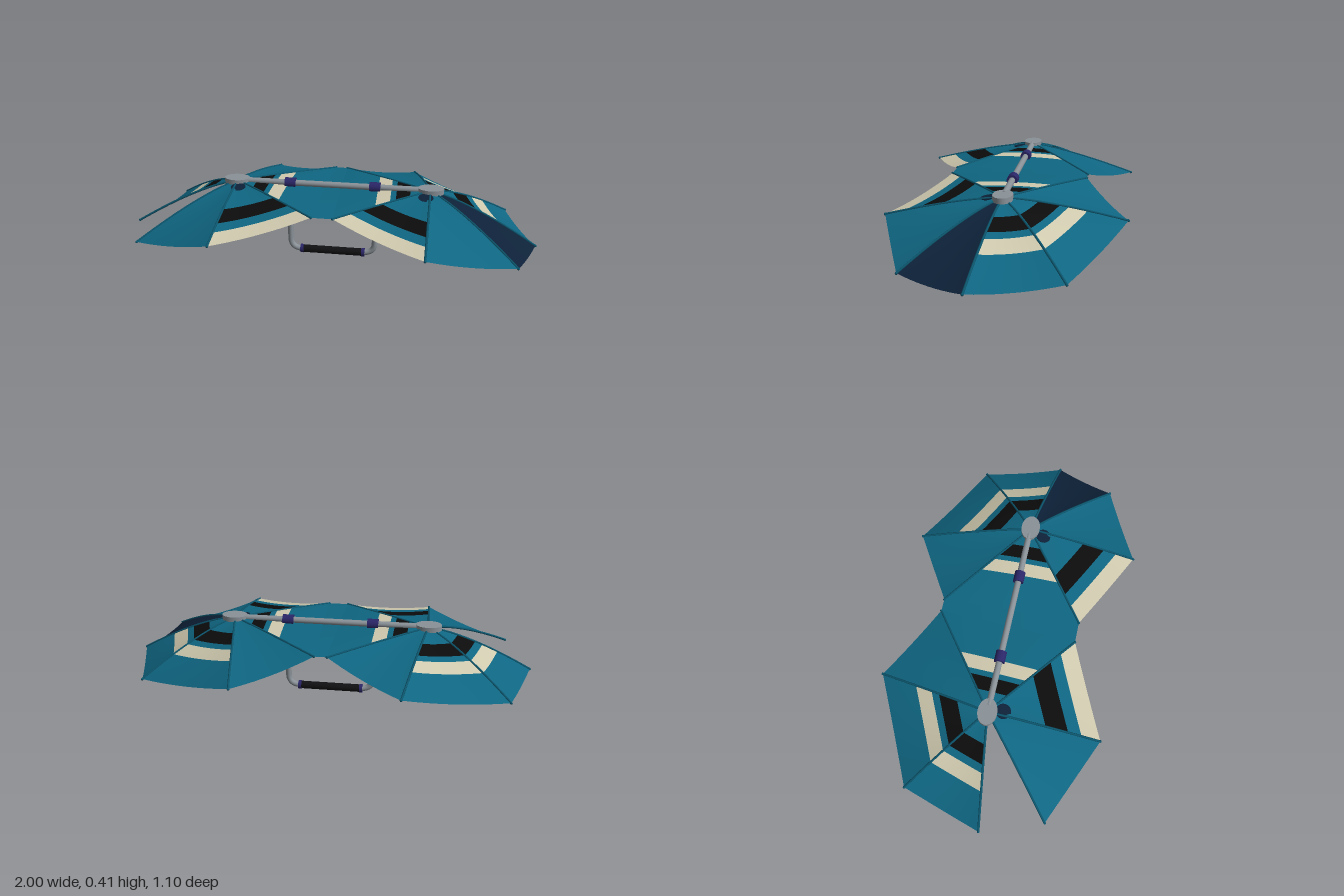
import * as THREE from 'three';

const mat = (name, color, side = THREE.FrontSide) => {
  const m = new THREE.MeshStandardMaterial({ color, side });
  m.name = name;
  return m;
};

const HUB_X = 0.48, TOP_Y = 0.38;

// Rib tips of one canopy, running round the hub [x, y, z]
const TIPS = [
  [0.03, 0.35, -0.335], [0.38, 0.268, -0.545], [0.87, 0.168, -0.32], [0.992, 0.157, 0.068],
  [0.89, 0.18, 0.36], [0.48, 0.275, 0.538], [0.05, 0.35, 0.33],
];

// Point on the canopy: s runs between two ribs, t from hub to rim
function canopyPoint(mirror, a, b, sag, s, t) {
  const along = (k) => a[k] + (b[k] - a[k]) * s;
  const y = TOP_Y - (TOP_Y - along(1)) * Math.pow(t, 1.4) - sag * 4 * s * (1 - s) * t;
  return new THREE.Vector3(mirror * (HUB_X + (along(0) - HUB_X) * t), y, along(2) * t);
}

// Grid surface from a point rule, wound so that normals face up
function surface(point, cols, rows, flip) {
  const pos = [], idx = [];
  for (let j = 0; j <= rows; j++)
    for (let i = 0; i <= cols; i++) pos.push(...point(i / cols, j / rows).toArray());
  for (let j = 0; j < rows; j++)
    for (let i = 0; i < cols; i++) {
      const p = j * (cols + 1) + i, q = p + cols + 1;
      if (flip) idx.push(p, q, p + 1, p + 1, q, q + 1);
      else idx.push(p, p + 1, q, p + 1, q + 1, q);
    }
  const g = new THREE.BufferGeometry();
  g.setAttribute('position', new THREE.Float32BufferAttribute(pos, 3));
  g.setIndex(idx);
  g.computeVertexNormals();
  return g;
}

export function createModel() {
  const model = new THREE.Group();
  model.name = 'twinCanopyUmbrella';

  const teal = mat('tealFabric', 0x0f6682, THREE.DoubleSide);
  const cream = mat('creamFabric', 0xcfc9ae, THREE.DoubleSide);
  const black = mat('blackFabric', 0x0c0c0c, THREE.DoubleSide);
  const navy = mat('navyFabric', 0x0d2138, THREE.DoubleSide);
  const rib = mat('ribTeal', 0x0b566e);
  const metal = mat('greyMetal', 0x8a9298);
  const violet = mat('violetPlastic', 0x2b2668);
  const grip = mat('blackGrip', 0x111113);

  const add = (parent, name, geo, material) => {
    const m = new THREE.Mesh(geo, material);
    m.name = name;
    parent.add(m);
    return m;
  };

  // Colour bands from hub to rim: [end of band, material]
  const plain = [[1, teal]];
  const dark = [[1, navy]];
  const outer = [[0.28, teal], [0.45, black], [0.52, teal], [0.67, cream], [1, teal]];
  const front = [[0.51, teal], [0.71, black], [0.83, teal], [1, cream]];
  const inner = [[0.22, teal], [0.37, black], [0.43, teal], [0.58, cream], [1, teal]];
  const panels = [plain, outer, outer, dark, plain, front, inner];

  for (const mirror of [1, -1]) {
    const canopy = new THREE.Group();
    canopy.name = mirror > 0 ? 'leftCanopy' : 'rightCanopy';
    model.add(canopy);

    panels.forEach((bands, n) => {
      if (mirror < 0 && bands === dark) return; // open gap on the right canopy
      const a = TIPS[n], b = TIPS[(n + 1) % TIPS.length];
      const sag = bands === inner ? -0.012 : 0.013;
      let from = 0.02;
      for (const [to, material] of bands) {
        const t0 = from;
        const rows = Math.max(2, Math.ceil((to - t0) * 12));
        add(canopy, 'fabricPanel', surface((u, v) => canopyPoint(
          mirror, a, b, sag, 0.008 + 0.984 * u, t0 + (to - t0) * v), 10, rows, mirror > 0), material);
        from = to;
      }
    });

    // Ribs from the hub to each tip
    for (const tip of TIPS) {
      const pts = [];
      for (let i = 0; i <= 8; i++) pts.push(canopyPoint(mirror, tip, tip, 0, 0, 0.05 + 0.95 * i / 8));
      add(canopy, 'rib', new THREE.TubeGeometry(new THREE.CatmullRomCurve3(pts), 12, 0.0055, 6), rib);
      const cap = add(canopy, 'ribTip', new THREE.SphereGeometry(0.0065, 8, 6), rib);
      cap.position.copy(pts[8]);
    }

    // Oval hub and the dark patch in front of it
    const hub = add(canopy, 'hub', new THREE.CylinderGeometry(0.063, 0.063, 0.026, 32), metal);
    hub.scale.z = 0.72;
    hub.position.set(mirror * 0.482, 0.384, 0);
    const patch = add(canopy, 'hubPatch', new THREE.CylinderGeometry(0.036, 0.036, 0.006, 20), navy);
    patch.position.set(mirror * 0.46, 0.371, 0.07);
    patch.rotation.x = 0.17;

    // Clamp joining crossbar and handle, and collar at the grip end
    const clamp = add(model, 'clamp', new THREE.CylinderGeometry(0.026, 0.026, 0.054, 20), violet);
    clamp.rotation.z = Math.PI / 2;
    clamp.position.set(mirror * 0.21, 0.383, 0);
    const collar = add(model, 'gripCollar', new THREE.CylinderGeometry(0.022, 0.022, 0.016, 20), violet);
    collar.rotation.z = Math.PI / 2;
    collar.position.set(mirror * 0.157, 0.024, 0);
  }

  // Fabric bridging the two canopies
  const first = TIPS[6], last = TIPS[0];
  add(model, 'bridgePanel', surface((u, v) => {
    const p = canopyPoint(1, first, last, -0.012, u, 1);
    p.x *= 1 - 2 * v;
    return p;
  }, 10, 2, true), teal);

  // Crossbar
  const bar = add(model, 'crossbar', new THREE.CylinderGeometry(0.015, 0.015, 0.9, 16), metal);
  bar.rotation.z = Math.PI / 2;
  bar.position.y = 0.384;

  // U-shaped handle with rounded corners
  const path = new THREE.CurvePath();
  const v = (x, y) => new THREE.Vector3(x, y, 0);
  path.add(new THREE.LineCurve3(v(-0.215, 0.38), v(-0.215, 0.08)));
  path.add(new THREE.QuadraticBezierCurve3(v(-0.215, 0.08), v(-0.215, 0.024), v(-0.155, 0.024)));
  path.add(new THREE.LineCurve3(v(-0.155, 0.024), v(0.155, 0.024)));
  path.add(new THREE.QuadraticBezierCurve3(v(0.155, 0.024), v(0.215, 0.024), v(0.215, 0.08)));
  path.add(new THREE.LineCurve3(v(0.215, 0.08), v(0.215, 0.38)));
  add(model, 'handleTube', new THREE.TubeGeometry(path, 100, 0.0145, 14), metal);
  const sleeve = add(model, 'handGrip', new THREE.CylinderGeometry(0.0195, 0.0195, 0.3, 20), grip);
  sleeve.rotation.z = Math.PI / 2;
  sleeve.position.y = 0.024;

  return model;
}
